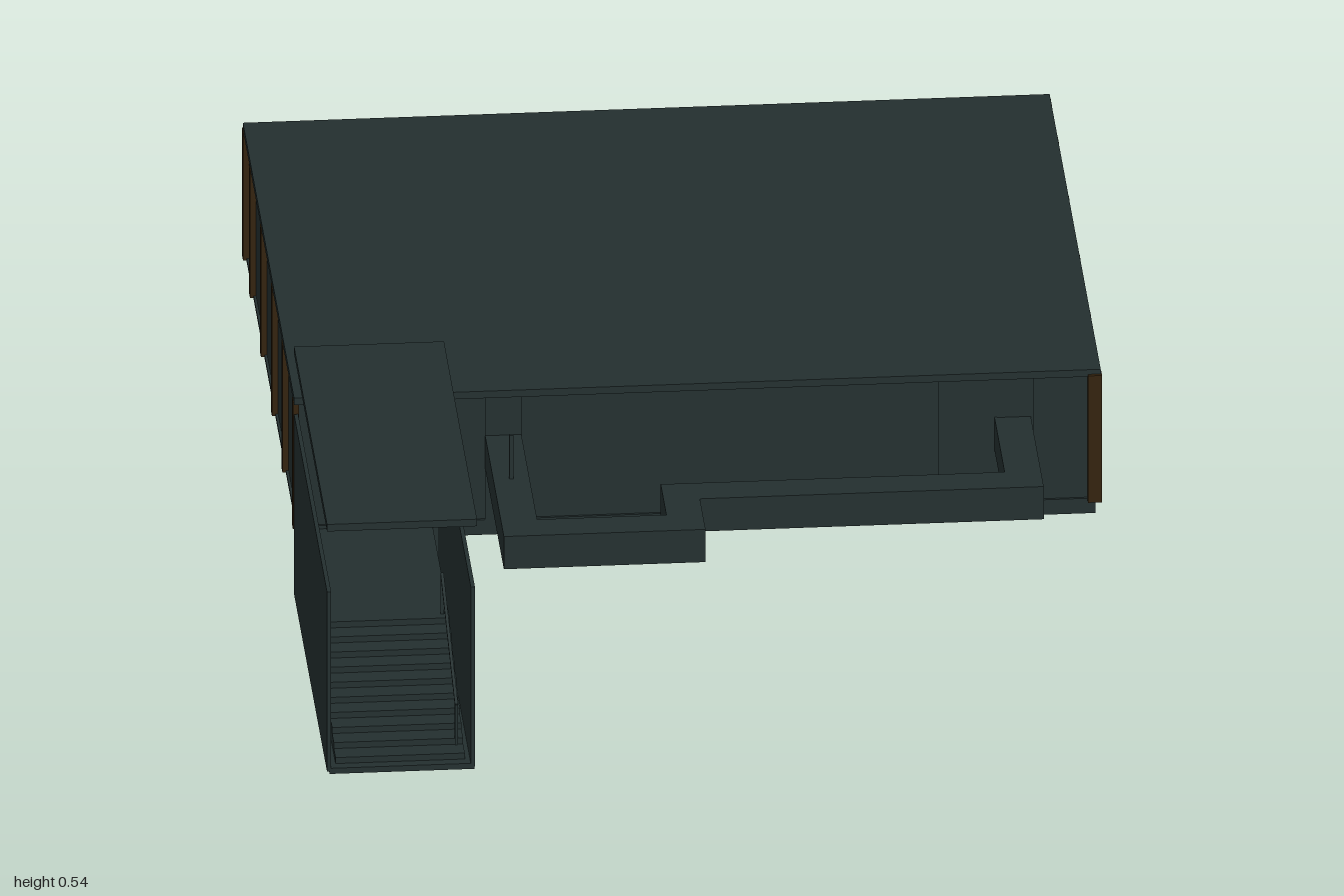
import * as THREE from 'three';

export function createModel() {
  const group = new THREE.Group();
  const slate = new THREE.MeshStandardMaterial({ color: 0x232f2f });
  slate.name = 'dark slate';
  const timber = new THREE.MeshStandardMaterial({ color: 0x33220d });
  timber.name = 'dark timber';

  // Box given by its minimum and maximum on each axis
  function box(name, [x0, x1], [y0, y1], [z0, z1], material = slate) {
    const mesh = new THREE.Mesh(new THREE.BoxGeometry(x1 - x0, y1 - y0, z1 - z0), material);
    mesh.position.set((x0 + x1) / 2, (y0 + y1) / 2, (z0 + z1) / 2);
    mesh.name = name;
    group.add(mesh);
    return mesh;
  }

  // Main hall
  box('plinth', [-0.77, 0.77], [0.115, 0.143], [-0.985, 0.21]);
  box('walls', [-0.77, 0.77], [0.143, 0.41], [-0.99, 0.205]);
  box('roof', [-0.78, 0.78], [0.41, 0.425], [-1, 0.215]);
  box('sillTrim', [-0.775, 0.775], [0.14, 0.147], [-0.995, 0.21]);

  // Timber posts along both sides and the back
  for (const z of [-0.986, -0.82, -0.56, -0.3, -0.05]) {
    for (const s of [-1, 1]) {
      box('sidePost', [s * 0.774 - 0.008, s * 0.774 + 0.008], [0.143, 0.415], [z - 0.013, z + 0.013], timber);
    }
  }
  for (const x of [-0.768, -0.09, 0.21, 0.768]) {
    box('backPost', [x - 0.013, x + 0.013], [0.143, 0.415], [-1, -0.98], timber);
  }
  box('frontCornerPost', [0.755, 0.782], [0.143, 0.415], [0.195, 0.222], timber);
  box('frontSidePost', [-0.782, -0.77], [0.143, 0.415], [0.19, 0.212], timber);

  // Shallow piers and panels on the front wall
  box('frontPier', [-0.41, -0.34], [0.147, 0.41], [0.2, 0.21]);
  box('frontPier', [0.58, 0.65], [0.147, 0.41], [0.2, 0.21]);
  box('frontPanel', [0.467, 0.58], [0.147, 0.41], [0.2, 0.208]);

  // Stepped beam standing out from the front
  const h = 0.035;
  const path = [[-0.375, 0.2], [-0.375, 0.62], [-0.055, 0.62], [-0.055, 0.485], [0.61, 0.485], [0.61, 0.2]];
  for (let i = 0; i < path.length - 1; i++) {
    const [ax, az] = path[i], [bx, bz] = path[i + 1];
    const alongX = az === bz;
    // Cross runs own the corners, the other runs stop against them
    const zMin = Math.min(az, bz), zMax = Math.max(az, bz);
    const xs = [Math.min(ax, bx) - h, Math.max(ax, bx) + h];
    const zs = alongX ? [az - h, az + h] : [zMin > 0.3 ? zMin + h : zMin, zMax - h];
    box('frontBeam', xs, [0.257, 0.327], zs);
  }
  box('beamPole', [-0.379, -0.371], [0.327, 0.42], [0.397, 0.403]);

  // Entrance passage: floor, side walls, raised canopy
  box('passageFloor', [-0.775, -0.495], [0, 0.012], [0.2, 1]);
  box('passageBack', [-0.775, -0.495], [0.012, 0.14], [0.205, 0.215]);
  box('passageWallRight', [-0.78, -0.772], [0.005, 0.39], [0.215, 1]);
  box('passageWallLeft', [-0.502, -0.494], [0.005, 0.39], [0.215, 1]);
  box('canopy', [-0.78, -0.49], [0.52, 0.535], [0.215, 1]);

  // Flight of steps up to a landing
  const steps = 10;
  for (let i = 0; i < steps; i++) {
    const y = 0.012 + (i + 1) * 0.0128;
    const front = 0.98 - i * 0.04;
    const back = i === steps - 1 ? 0.215 : front - 0.04;
    box(i === steps - 1 ? 'landing' : 'step', [-0.762, -0.512], [0.012, y], [back, front]);
  }

  // Handrail following the steps
  for (const [z, y] of [[0.94, 0.025], [0.6, 0.14]]) {
    box('railPost', [-0.528, -0.522], [y, y + 0.085], [z - 0.003, z + 0.003]);
  }
  const rail = box('handrail', [-0.528, -0.522], [0.164, 0.17], [0.59, 0.95]);
  rail.rotation.x = Math.atan2(0.115, 0.34);

  // Front door with raised frame, rails, transom and wall box
  box('doorLeaf', [-0.715, -0.555], [0.147, 0.36], [0.2, 0.209]);
  for (const x of [-0.715, -0.562]) {
    box('doorStile', [x, x + 0.007], [0.147, 0.36], [0.205, 0.217]);
  }
  for (const y of [0.168, 0.262, 0.345]) {
    box('doorRail', [-0.708, -0.562], [y, y + 0.007], [0.205, 0.215]);
  }
  box('transom', [-0.717, -0.555], [0.36, 0.405], [0.2, 0.213], timber);
  box('wallBox', [-0.54, -0.522], [0.245, 0.29], [0.2, 0.22]);

  return group;
}
